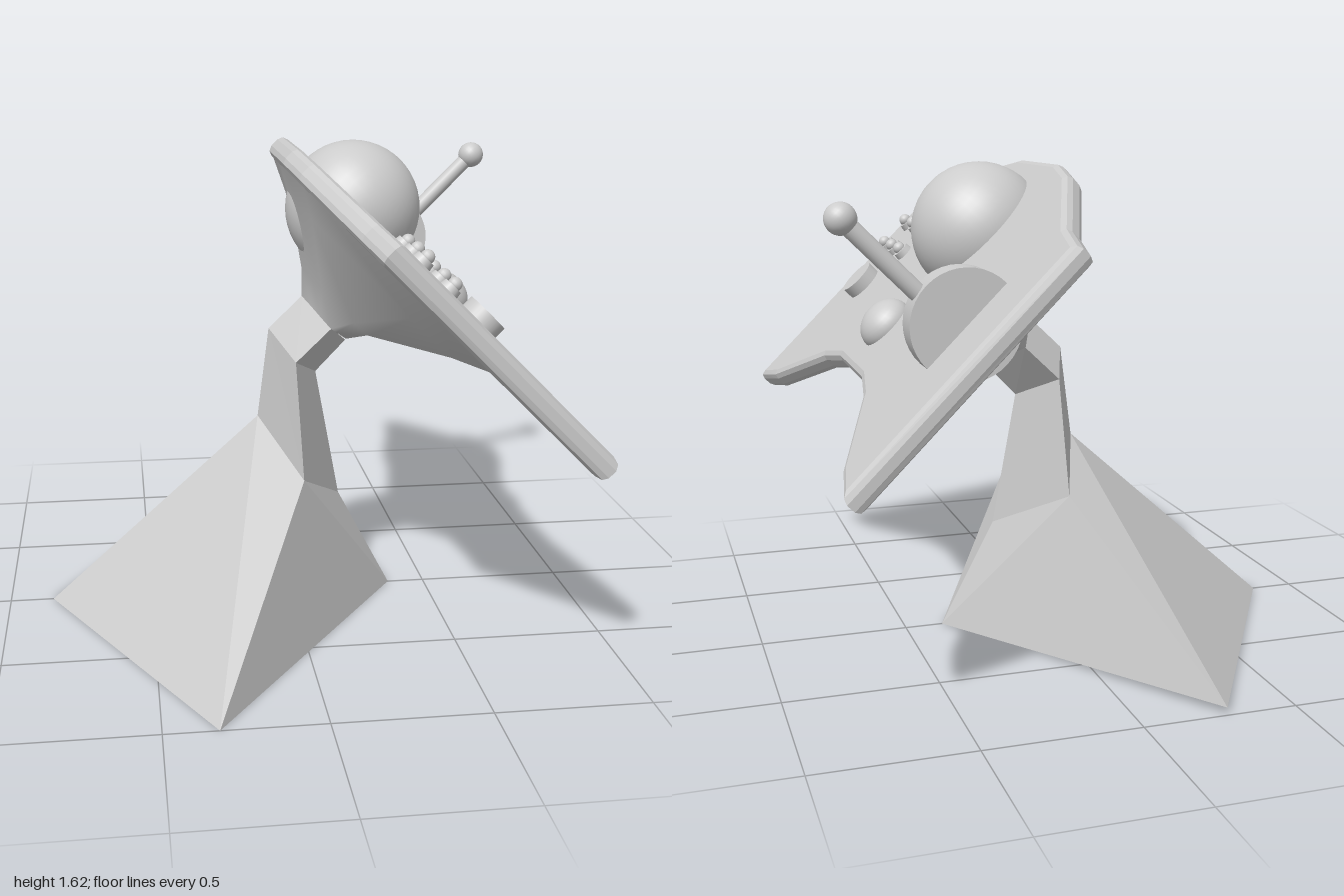
import * as THREE from 'three';

const grey = new THREE.MeshStandardMaterial({ color: 0xcccccc });
const greyDouble = new THREE.MeshStandardMaterial({ color: 0xcccccc, side: THREE.DoubleSide });
const greyFlat = new THREE.MeshStandardMaterial({ color: 0xcccccc, side: THREE.DoubleSide, flatShading: true });

function add(parent, name, geometry, x, y, z, material = grey) {
  const mesh = new THREE.Mesh(geometry, material);
  mesh.name = name;
  mesh.position.set(x, y, z);
  parent.add(mesh);
  return mesh;
}

// Skin a stack of closed rings; the second half of each ring flips its diagonals
function loft(rings) {
  const count = rings[0].length;
  const index = [];
  for (let r = 0; r < rings.length - 1; r++) {
    for (let i = 0; i < count; i++) {
      const j = (i + 1) % count;
      const a = r * count + i, b = r * count + j;
      const c = a + count, d = b + count;
      if (i < count / 2) index.push(a, b, c, b, d, c);
      else index.push(a, b, d, a, d, c);
    }
  }
  const geometry = new THREE.BufferGeometry();
  geometry.setAttribute('position', new THREE.Float32BufferAttribute(rings.flat(2), 3));
  geometry.setIndex(index);
  geometry.computeVertexNormals();
  return geometry;
}

// Open faceted foot rising into a bent, diamond-section neck
function buildPedestal() {
  return loft([
    [[-0.85, 0, 0], [-0.33, 0, 1], [0.37, 0, 0], [-0.27, 0.025, -1]],
    [[-0.11, 0.66, 0], [0.01, 0.53, 0.34], [0.18, 0.36, 0], [0.01, 0.53, -0.34]],
    [[-0.07, 0.975, 0], [0, 0.9, 0.2], [0.095, 0.815, 0], [0, 0.9, -0.2]],
    [[0.05, 1.09, 0], [0.12, 1.015, 0.2], [0.2, 0.925, 0], [0.12, 1.015, -0.2]],
  ]);
}

// Flare from the neck out to the back of the panel
function buildFlare() {
  const neck = [[-0.735, 0], [-0.7, 0.067], [-0.667, 0.133], [-0.633, 0.2],
    [-0.593, 0.133], [-0.553, 0.067], [-0.513, 0]];
  const rim = [[-1.13, 0], [-1.13, 0.2], [-1.09, 0.38], [-0.55, 0.7],
    [-0.17, 0.38], [-0.21, 0.2], [-0.21, 0]];
  const levels = [[0.8, 0], [0.87, 0.18], [1.015, 0.7], [1.08, 1]];
  return loft(levels.map(([n, f]) => {
    const half = neck.map(([s, z], i) => [
      THREE.MathUtils.lerp(s, rim[i][0], f), n, THREE.MathUtils.lerp(z, rim[i][1], f)]);
    const mirrored = half.slice(1, -1).reverse().map(([s, y, z]) => [s, y, -z]);
    return [...half, ...mirrored];
  }));
}

// Curved slab with a chamfered border
function buildPanel() {
  const bend = [[-0.945, 0.27], [-0.76, 0.226], [-0.38, 0.04], [-0.2, 0],
    [0.2, 0], [0.38, 0.04], [0.76, 0.226], [0.945, 0.27]];
  const top = bend.map(([z, s]) => new THREE.Vector2(s - 1.145, z));
  const bottom = bend.map(([z, s]) => new THREE.Vector2(s - 0.19, z)).reverse();
  const geometry = new THREE.ExtrudeGeometry(new THREE.Shape([...top, ...bottom]), {
    depth: 0.03, bevelThickness: 0.025, bevelSize: 0.025, bevelOffset: -0.025, bevelSegments: 2,
  });
  return geometry.rotateX(-Math.PI / 2);
}

export function createModel() {
  const model = new THREE.Group();
  model.name = 'controlConsole';
  add(model, 'pedestal', buildPedestal(), 0, 0, 0, greyFlat);

  // Tilted frame: x runs down the slope, y points out of the panel
  const desk = new THREE.Group();
  desk.name = 'tiltedDesk';
  desk.rotation.z = -Math.PI / 4;
  model.add(desk);
  const face = 1.15;

  add(desk, 'flare', buildFlare(), 0, 0, 0, greyDouble);
  add(desk, 'panel', buildPanel(), 0, face - 0.055, 0.007);

  // Domes
  add(desk, 'largeDome', new THREE.SphereGeometry(0.23, 40, 24), -0.827, 1.138, 0);
  add(desk, 'smallDome', new THREE.SphereGeometry(0.095, 32, 16), -0.38, face, 0.01)
    .scale.y = 0.8;

  // Six small push buttons, each a collar with a bead
  const collar = new THREE.CylinderGeometry(0.03, 0.034, 0.024, 20);
  const bead = new THREE.SphereGeometry(0.022, 16, 12);
  for (const s of [-0.753, -0.636]) {
    for (const z of [0.54, 0.675, 0.81]) {
      add(desk, 'buttonCollar', collar, s, face + 0.01, z);
      add(desk, 'buttonBead', bead, s, face + 0.028, z);
    }
  }
  add(desk, 'roundButton', new THREE.CylinderGeometry(0.07, 0.07, 0.05, 32), -0.456, face + 0.018, 0.68);

  // Lever with its half-sunk wheel
  const leverZ = -0.655;
  add(desk, 'leverWheel', new THREE.CylinderGeometry(0.17, 0.17, 0.095, 40).rotateX(Math.PI / 2),
    -0.515, face, leverZ);
  add(desk, 'leverRod', new THREE.CylinderGeometry(0.028, 0.028, 0.4, 20), -0.488, 1.42, leverZ);
  add(desk, 'leverKnob', new THREE.SphereGeometry(0.048, 24, 16), -0.488, 1.62, leverZ);

  return model;
}
